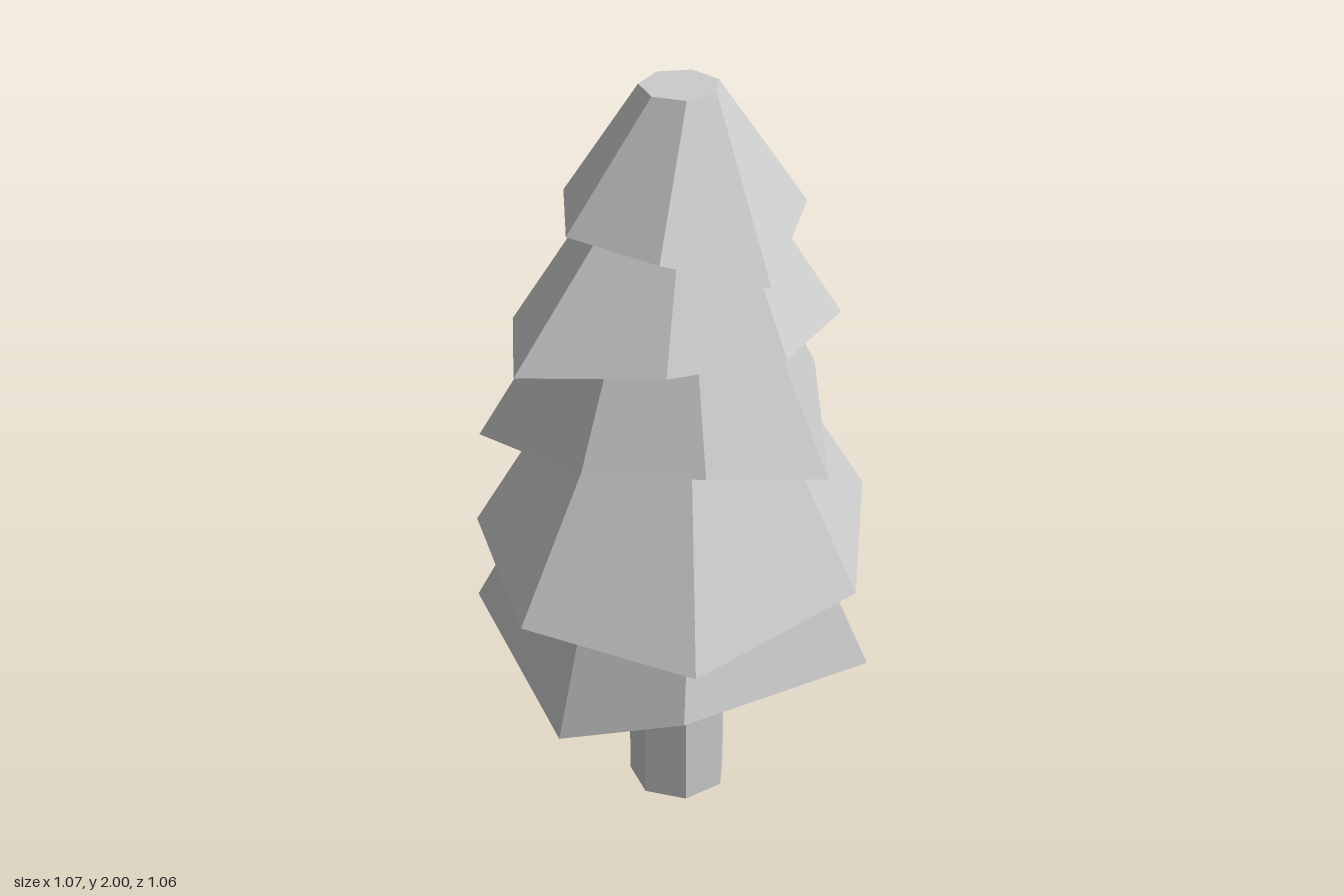
import * as THREE from 'three';

const SIDES = 7;
const CX = 0.038, CZ = 0.029; // trunk axis

// Each tier: height and radius of the top ring, then the ragged skirt corners [x, y, z]
const TIERS = [
  { name: 'lowestBranches', topY: 1.1, topR: 0.24, closed: true, skirt: [
    [-0.537, 0.445, 0], [-0.463, 0.39, -0.325], [-0.15, 0.43, -0.466], [0.255, 0.448, -0.533],
    [0.52, 0.365, -0.103], [0.18, 0.485, 0.454], [-0.15, 0.37, 0.454]] },
  { name: 'lowerBranches', topY: 1.42, topR: 0.15, closed: false, skirt: [
    [-0.469, 0.79, 0.152], [-0.42, 0.7, -0.308], [0.01, 0.95, -0.448], [0.434, 0.77, -0.348],
    [0.536, 0.76, 0.16], [0.232, 0.69, 0.531], [-0.22, 0.735, 0.513]] },
  { name: 'middleBranches', topY: 1.7, topR: 0.13, closed: false, skirt: [
    [-0.455, 1.04, 0.145], [-0.256, 1.05, -0.311], [-0.03, 1.18, -0.4], [0.309, 1.15, -0.279],
    [0.463, 1.095, 0.19], [0.208, 1.155, 0.373], [-0.094, 1.135, 0.408]] },
  { name: 'upperBranches', topY: 1.87, topR: 0.1, closed: false, skirt: [
    [-0.427, 1.28, -0.046], [-0.18, 1.415, -0.268], [0.148, 1.365, -0.356], [0.413, 1.4, -0.1],
    [0.353, 1.41, 0.197], [0.112, 1.415, 0.38], [-0.257, 1.372, 0.406]] },
  { name: 'crownBranches', topY: 2, topR: 0.098, closed: false, skirt: [
    [-0.266, 1.68, 0], [-0.145, 1.635, -0.242], [0.134, 1.645, -0.268], [0.318, 1.685, -0.104],
    [0.321, 1.61, 0.233], [0.08, 1.68, 0.33], [-0.174, 1.68, 0.249]] },
];

// Regular seven-sided ring around the trunk axis, clockwise from above
function ring(y, r) {
  return Array.from({ length: SIDES }, (_, k) => {
    const a = (k - 2) * 2 * Math.PI / SIDES;
    return [CX + r * Math.sin(a), y, CZ - r * Math.cos(a)];
  });
}

// Faceted body between two rings; every face is shaded with one normal
function frustum(top, bottom, closedBelow) {
  const pos = [], nor = [];
  const face = (pts) => {
    const n = new THREE.Vector3();
    pts.forEach((p, i) => {
      const q = pts[(i + 1) % pts.length];
      n.add(new THREE.Vector3(...p).cross(new THREE.Vector3(...q)));
    });
    n.normalize();
    for (let i = 1; i < pts.length - 1; i++) {
      for (const p of [pts[0], pts[i], pts[i + 1]]) {
        pos.push(...p);
        nor.push(n.x, n.y, n.z);
      }
    }
  };
  for (let k = 0; k < SIDES; k++) {
    const n = (k + 1) % SIDES;
    face([bottom[k], top[k], top[n], bottom[n]]);
  }
  face([...top].reverse());
  if (closedBelow) face([...bottom.slice(5), ...bottom.slice(0, 5)]);
  const g = new THREE.BufferGeometry();
  g.setAttribute('position', new THREE.Float32BufferAttribute(pos, 3));
  g.setAttribute('normal', new THREE.Float32BufferAttribute(nor, 3));
  return g;
}

export function createModel() {
  const group = new THREE.Group();
  group.name = 'pineTree';
  // The upper skirts are open underneath, so both sides show
  const grey = new THREE.MeshStandardMaterial({ color: 0xcccccc, side: THREE.DoubleSide });
  grey.name = 'lightGrey';

  const add = (name, geometry) => {
    const mesh = new THREE.Mesh(geometry, grey);
    mesh.name = name;
    group.add(mesh);
  };

  // Seven-sided trunk, running up into the lowest tier
  add('trunk', frustum(ring(0.7, 0.131), ring(0, 0.131), true));

  // Overlapping tiers of branches
  for (const { name, topY, topR, skirt, closed } of TIERS) {
    add(name, frustum(ring(topY, topR), skirt, closed));
  }
  return group;
}
